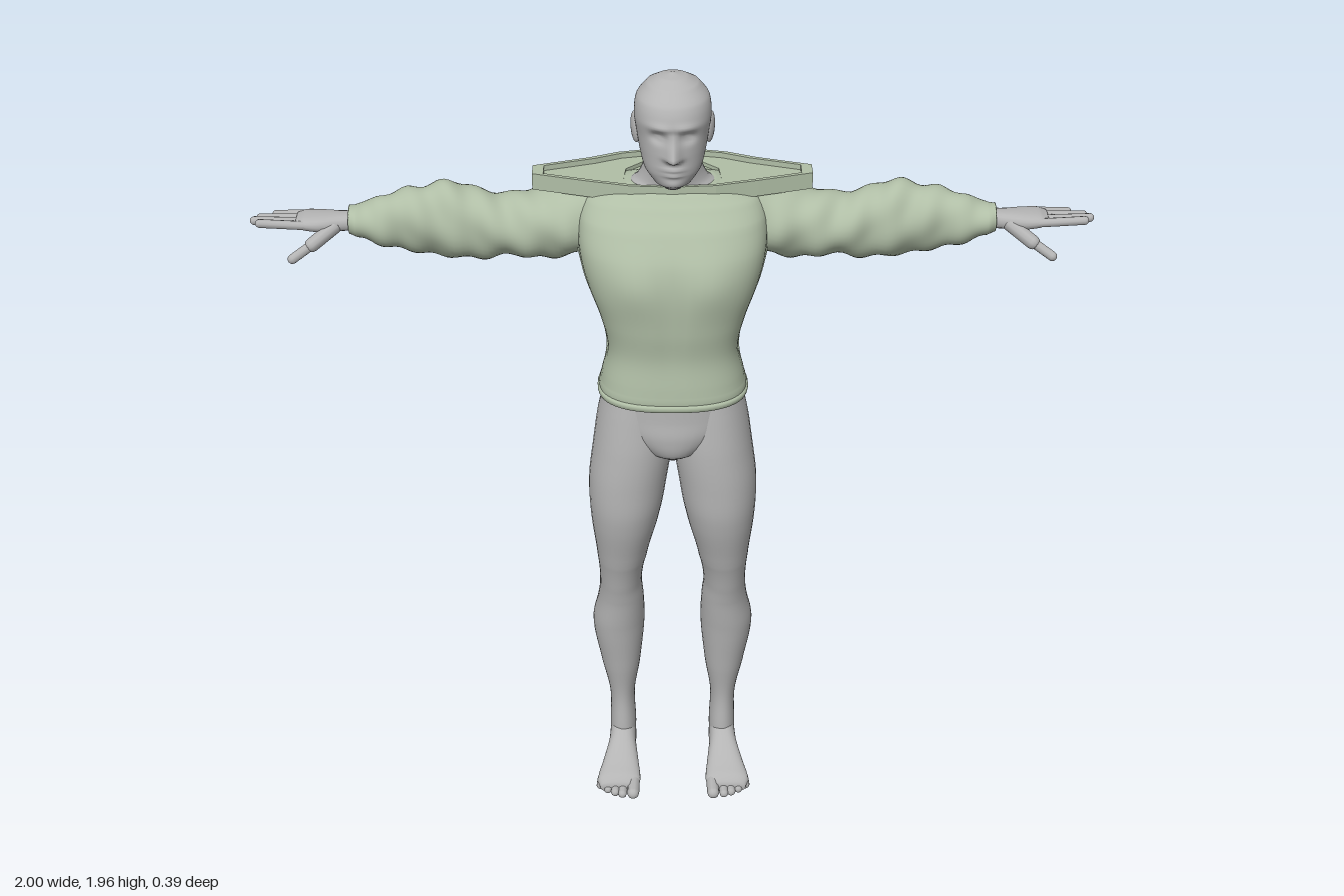
import * as THREE from 'three';

const skin = new THREE.MeshStandardMaterial({ color: 0xb4b4b4 });
skin.name = 'greySkin';
const cloth = new THREE.MeshStandardMaterial({ color: 0xb0bea6 });
cloth.name = 'sageCloth';

// Maps (along, u, v) of a loft to x, y, z for each axis
const AXES = {
  x: (t, u, v) => [t, u, v],
  y: (t, u, v) => [v, t, u],
  z: (t, u, v) => [u, v, t],
};

// Smooth closed body through cross-sections [along, min1, max1, min2, max2];
// the two ranges are y,z for axis x; z,x for axis y; x,y for axis z
function loft(axis, rows, { n = 32, sub = 6, power = 2, shape = null } = {}) {
  const pos = [], index = [], rings = (rows.length - 1) * sub + 1;
  const put = (t, u, v) => {
    const p = new THREE.Vector3(...AXES[axis](t, u, v));
    if (shape) shape(p);
    pos.push(p.x, p.y, p.z);
  };
  const round = (c) => Math.sign(c) * Math.abs(c) ** (2 / power);
  const row = (i) => rows[Math.min(Math.max(i, 0), rows.length - 1)];
  const sample = (k) => {
    const i = Math.min(Math.floor(k / sub), rows.length - 2), f = k / sub - i;
    return rows[0].map((_, c) => {
      const [a, b, d, e] = [row(i - 1)[c], row(i)[c], row(i + 1)[c], row(i + 2)[c]];
      if (c === 0) return b + (d - b) * f;
      return b + 0.5 * f * (d - a + f * (2 * a - 5 * b + 4 * d - e + f * (3 * (b - d) + e - a)));
    });
  };
  for (let k = 0; k < rings; k++) {
    const [t, u0, u1, v0, v1] = sample(k);
    for (let j = 0; j < n; j++) {
      const th = (j / n) * Math.PI * 2;
      put(t, (u0 + u1) / 2 + (u1 - u0) / 2 * round(Math.cos(th)),
        (v0 + v1) / 2 + (v1 - v0) / 2 * round(Math.sin(th)));
    }
  }
  const last = (rings - 1) * n;
  for (const r of [rows[0], row(rows.length)]) put(r[0], (r[1] + r[2]) / 2, (r[3] + r[4]) / 2);
  for (let j = 0; j < n; j++) {
    const j2 = (j + 1) % n;
    for (let k = 0; k < rings - 1; k++) {
      const a = k * n + j, b = k * n + j2;
      index.push(a, b, a + n, b, b + n, a + n);
    }
    index.push(last + n, j2, j, last + n + 1, last + j, last + j2);
  }
  const g = new THREE.BufferGeometry();
  g.setAttribute('position', new THREE.Float32BufferAttribute(pos, 3));
  g.setIndex(index);
  g.computeVertexNormals();
  return g;
}

// Upright symmetric body from rows [y, halfWidth, back, front]
const column = (rows, opts) => loft('y', rows.map(([y, w, b, f]) => [y, b, f, -w, w]), opts);

// Rounded rod between two points
function rod(a, b, r) {
  const p = new THREE.Vector3(...a), q = new THREE.Vector3(...b), d = q.clone().sub(p);
  const turn = new THREE.Quaternion().setFromUnitVectors(new THREE.Vector3(0, 1, 0), d.clone().normalize());
  return new THREE.CapsuleGeometry(r, d.length(), 5, 10)
    .applyMatrix4(new THREE.Matrix4().compose(p.add(q).multiplyScalar(0.5), turn, new THREE.Vector3(1, 1, 1)));
}

function mirrored(g) {
  const m = g.clone().scale(-1, 1, 1), ix = m.index.array;
  for (let i = 0; i < ix.length; i += 3) [ix[i], ix[i + 1]] = [ix[i + 1], ix[i]];
  return m;
}

const bump = (x, y, cx, cy, sx, sy) => Math.exp(-(((x - cx) / sx) ** 2) - ((y - cy) / sy) ** 2);

export function createModel() {
  const model = new THREE.Group();
  const add = (name, geo, mat) => {
    const m = new THREE.Mesh(geo, mat);
    m.name = name;
    model.add(m);
  };
  const pair = (name, geo, mat) => {
    add('left' + name, geo, mat);
    add('right' + name, mirrored(geo), mat);
  };

  // Head with modelled face
  const face = (p) => {
    if (p.z < 0.07) return;
    const x = Math.abs(p.x), y = p.y;
    const noseLength = y > 1.792 ? Math.max(0, 1 - (y - 1.792) / 0.062) : Math.max(0, 1 - (1.792 - y) / 0.014);
    p.z += 0.034 * noseLength * Math.exp(-((x / (0.011 + 0.006 * noseLength)) ** 2));
    p.z -= 0.014 * bump(x, y, 0.034, 1.842, 0.017, 0.013);
    p.z += 0.005 * bump(x, y, 0.033, 1.84, 0.009, 0.005);
    p.z += 0.006 * bump(x, y, 0.03, 1.866, 0.028, 0.009);
    p.z += 0.007 * (bump(x, y, 0, 1.764, 0.024, 0.005) + bump(x, y, 0, 1.75, 0.02, 0.005));
    p.z += 0.006 * bump(x, y, 0, 1.725, 0.022, 0.012);
  };
  add('head', column([
    [1.705, 0.02, 0.075, 0.12], [1.72, 0.044, 0.03, 0.138], [1.75, 0.066, 0, 0.146],
    [1.79, 0.077, -0.035, 0.149], [1.83, 0.084, -0.053, 0.15], [1.87, 0.089, -0.057, 0.154],
    [1.91, 0.084, -0.05, 0.141], [1.94, 0.061, -0.022, 0.108], [1.955, 0.035, 0.008, 0.078],
    [1.962, 0.005, 0.038, 0.048],
  ], { n: 72, sub: 8, power: 2.1, shape: face }), skin);

  // Ears
  const ear = new THREE.SphereGeometry(1, 16, 12).scale(0.01, 0.037, 0.022);
  pair('Ear', ear.rotateX(-0.2).rotateY(-0.3).translate(0.086, 1.828, 0.037), skin);

  // Neck flaring into the shoulders
  add('neck', column([
    [1.62, 0.15, -0.1, 0.06], [1.665, 0.12, -0.085, 0.062], [1.69, 0.085, -0.073, 0.066],
    [1.73, 0.068, -0.066, 0.078], [1.78, 0.066, -0.058, 0.09], [1.82, 0.05, -0.04, 0.07],
  ]), skin);

  // Sweater body with chest, navel line and spine relief
  const chest = (p) => {
    const x = Math.abs(p.x);
    if (p.z > 0.07) p.z += 0.01 * bump(x, p.y, 0.09, 1.48, 0.06, 0.06) - 0.006 * bump(x, p.y, 0, 1.42, 0.02, 0.12);
    if (p.z < -0.03) p.z += 0.014 * bump(x, p.y, 0, 1.35, 0.03, 0.14);
  };
  add('sweaterBody', column([
    [1.155, 0.168, -0.075, 0.172], [1.168, 0.178, -0.085, 0.185], [1.195, 0.174, -0.079, 0.185],
    [1.28, 0.156, -0.05, 0.178], [1.36, 0.172, -0.08, 0.188], [1.45, 0.204, -0.11, 0.192],
    [1.53, 0.222, -0.125, 0.178], [1.6, 0.222, -0.125, 0.14], [1.645, 0.205, -0.11, 0.1],
    [1.668, 0.16, -0.095, 0.075], [1.68, 0.1, -0.08, 0.06],
  ], { n: 56, power: 2.5, shape: chest }), cloth);

  // Hem band and side seams
  add('hem', column([
    [1.15, 0.169, -0.076, 0.175], [1.157, 0.18, -0.087, 0.188],
    [1.17, 0.182, -0.089, 0.19], [1.18, 0.172, -0.078, 0.178],
  ], { n: 56, power: 2.5 }), cloth);
  const seam = new THREE.CatmullRomCurve3([[0.179, 1.16], [0.156, 1.28], [0.172, 1.36], [0.204, 1.45], [0.222, 1.53]]
    .map(([x, y]) => new THREE.Vector3(x - 0.001, y, 0.05)));
  pair('SideSeam', new THREE.TubeGeometry(seam, 24, 0.005, 6), cloth);

  // Sleeves with soft wrinkles
  const wrinkle = (p) => {
    const s = 0.004 * Math.sin(p.x * 75 + p.z * 30) + 0.003 * Math.sin(p.x * 41 - p.y * 50);
    const d = new THREE.Vector2(p.y - 1.565, p.z + 0.035).normalize();
    p.y += d.x * s;
    p.z += d.y * s;
  };
  pair('Sleeve', loft('x', [
    [0.14, 1.51, 1.64, -0.1, 0.04], [0.2, 1.485, 1.668, -0.13, 0.055], [0.27, 1.472, 1.65, -0.135, 0.053],
    [0.36, 1.475, 1.628, -0.12, 0.045], [0.45, 1.47, 1.635, -0.11, 0.035], [0.54, 1.467, 1.655, -0.113, 0.03],
    [0.62, 1.49, 1.642, -0.1, 0.03], [0.7, 1.512, 1.625, -0.075, 0.034], [0.745, 1.528, 1.612, -0.065, 0.032],
    [0.765, 1.54, 1.605, -0.052, 0.022],
  ], { n: 36, sub: 8, shape: wrinkle }), cloth);

  // Hood hanging behind the shoulders, left faceted
  const bowl = column([
    [1.425, 0.04, -0.15, -0.09], [1.45, 0.11, -0.18, -0.07], [1.5, 0.175, -0.197, -0.05],
    [1.56, 0.215, -0.199, -0.03], [1.62, 0.245, -0.194, -0.01], [1.668, 0.255, -0.165, 0.0],
  ], { n: 24, sub: 2 }).toNonIndexed();
  bowl.computeVertexNormals();
  add('hoodBowl', bowl, cloth);

  // Flat hood opening: raised rim around a lower floor with a neck hole
  const outlineOf = (half, k = 1, cz = -0.04) => [...half, ...half.slice(1, -1).reverse().map(([x, z]) => [-x, z])]
    .map(([x, z]) => new THREE.Vector2(x * k, cz + (z - cz) * k));
  const plate = (outer, hole, depth, top) => {
    const s = new THREE.Shape(outer);
    s.holes.push(new THREE.Path(hole));
    return new THREE.ExtrudeGeometry(s, { depth, bevelEnabled: false }).rotateX(Math.PI / 2).translate(0, top, 0);
  };
  const rim = [[0, -0.158], [0.07, -0.156], [0.13, -0.142], [0.2, -0.108], [0.33, -0.062],
    [0.33, -0.012], [0.2, 0.032], [0.1, 0.062], [0, 0.07]];
  const neckHole = [[0, -0.118], [0.07, -0.112], [0.11, -0.07], [0.115, -0.01], [0.07, 0.045], [0, 0.058]];
  add('hoodRim', plate(outlineOf(rim), outlineOf(rim, 0.92), 0.04, 1.69), cloth);
  add('hoodFloor', plate(outlineOf(rim, 0.96), outlineOf(neckHole), 0.025, 1.677), cloth);

  // Hands: palm, four fingers and thumb
  pair('Palm', loft('x', [
    [0.74, 1.55, 1.595, -0.045, 0.015], [0.78, 1.55, 1.592, -0.045, 0.018], [0.83, 1.55, 1.592, -0.056, 0.03],
    [0.87, 1.556, 1.59, -0.06, 0.03], [0.89, 1.565, 1.583, -0.052, 0.022],
  ], { n: 20, power: 2.4 }), skin);
  [[-0.05, -0.064, 0.945, 1.565], [-0.027, -0.034, 0.978, 1.57], [-0.003, -0.004, 0.989, 1.576], [0.02, 0.026, 0.972, 1.582]]
    .forEach(([z0, z1, x, y], i) => {
      pair('Finger' + (i + 1), rod([0.865, 1.573, z0], [x, y, z1], 0.0105), skin);
    });
  pair('ThumbBase', rod([0.8, 1.565, 0.01], [0.85, 1.535, 0.045], 0.017), skin);
  pair('ThumbTip', rod([0.85, 1.535, 0.045], [0.895, 1.508, 0.065], 0.012), skin);

  // Pelvis
  add('pelvis', column([
    [0.97, 0.025, 0.01, 0.09], [1.0, 0.075, -0.04, 0.135], [1.05, 0.14, -0.07, 0.146],
    [1.1, 0.172, -0.08, 0.142], [1.18, 0.163, -0.065, 0.14],
  ], { n: 40 }), skin);

  // Legs, rows [y, back, front, inner, outer]
  pair('Leg', loft('y', [
    [0.05, -0.085, 0.02, 0.1, 0.165], [0.1, -0.085, 0.02, 0.097, 0.165], [0.2, -0.09, 0.015, 0.1, 0.165],
    [0.3, -0.1, 0.03, 0.085, 0.185], [0.43, -0.115, 0.05, 0.073, 0.206], [0.52, -0.087, 0.064, 0.075, 0.191],
    [0.58, -0.075, 0.078, 0.079, 0.186], [0.66, -0.07, 0.1, 0.066, 0.191], [0.8, -0.08, 0.134, 0.032, 0.206],
    [0.9, -0.086, 0.14, 0.014, 0.208], [1.0, -0.094, 0.138, 0.0, 0.196], [1.08, -0.1, 0.13, 0.0, 0.184],
    [1.17, -0.075, 0.12, 0.01, 0.163],
  ], { n: 36, power: 2.1 }), skin);

  // Feet and toes
  pair('Foot', loft('z', [
    [-0.097, 0.12, 0.142, 0.02, 0.05], [-0.08, 0.102, 0.158, 0.002, 0.09], [-0.03, 0.097, 0.165, 0, 0.125],
    [0.02, 0.097, 0.17, 0, 0.105], [0.08, 0.09, 0.186, 0, 0.068], [0.13, 0.086, 0.198, 0, 0.045],
    [0.16, 0.095, 0.19, 0.004, 0.032],
  ], { n: 28, power: 2.4 }), skin);
  for (let i = 0; i < 5; i++) {
    const r = i === 0 ? 0.016 : 0.0115, x = i === 0 ? 0.103 : 0.112 + i * 0.019;
    pair('Toe' + (i + 1), rod([x, r + 0.006, 0.12], [x + 0.002, r, 0.178 - 0.0025 * i * i], r), skin);
  }
  return model;
}
